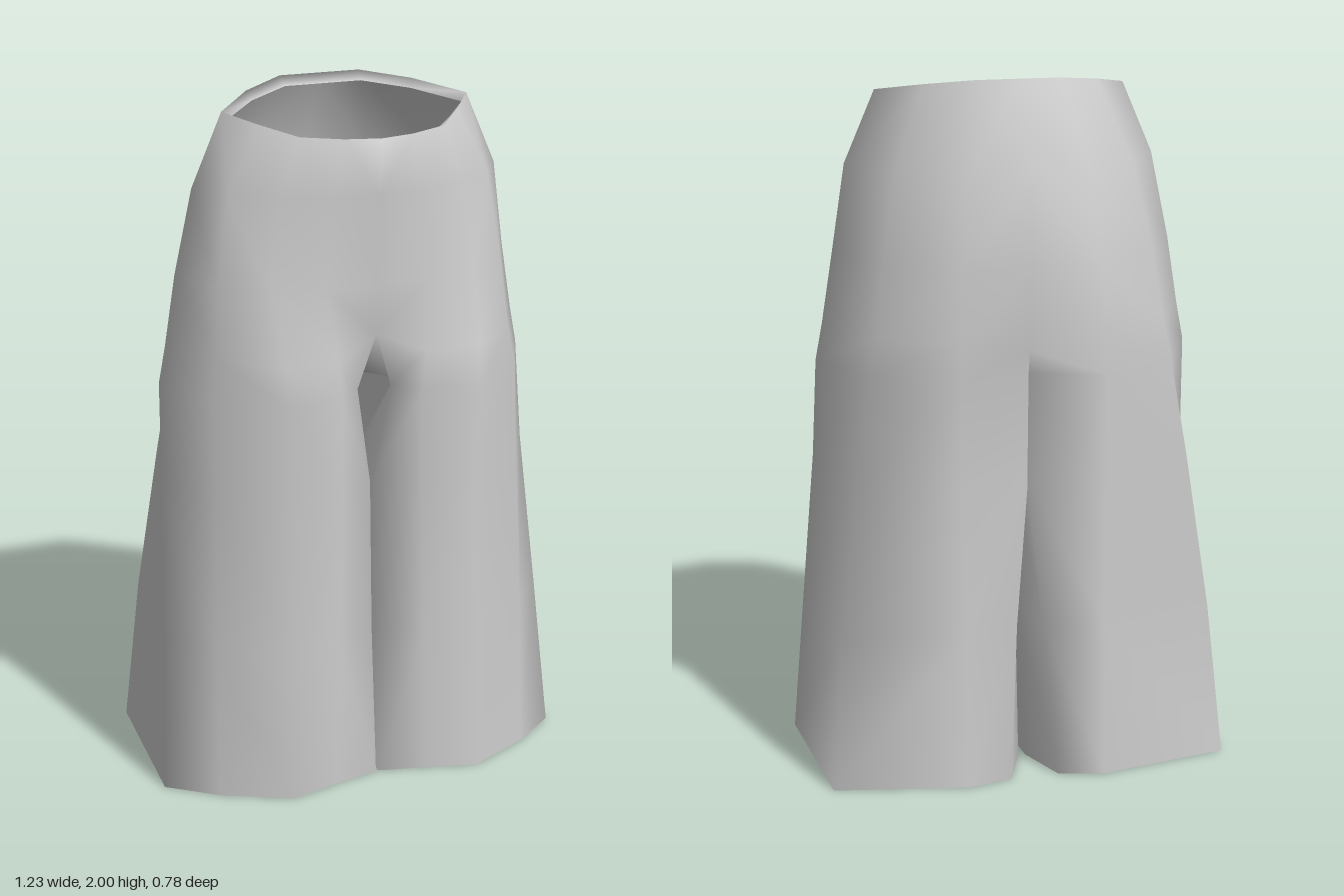
import * as THREE from 'three';
import { mergeVertices } from 'three/addons/utils/BufferGeometryUtils.js';

// Cross-sections of the left half as [x, z], running centre front -> side -> centre back.
const waist = [[0, .33], [.1, .305], [.21, .26], [.29, .165], [.365, .06], [.25, -.065], [.12, -.15], [0, -.15]];
const hips = [
  { y: 1.75, p: [[0, .315], [.13, .305], [.27, .26], [.385, .17], [.455, .06], [.345, -.125], [.18, -.255], [0, -.275]] },
  { y: 1.5, p: [[0, .31], [.16, .315], [.3, .28], [.425, .185], [.5, .03], [.39, -.175], [.2, -.312], [0, -.318]] },
];
// From the crotch down each section closes with two points on the inner thigh.
const legs = [
  { y: 1.3, p: [[0, .295], [.13, .345], [.29, .355], [.44, .215], [.532, .03], [.42, -.195], [.21, -.335], [0, -.285], [0, -.1], [0, .2]] },
  { y: 1.19, p: [[.05, .28], [.12, .345], [.28, .38], [.46, .225], [.553, .03], [.44, -.21], [.21, -.345], [-.004, -.27], [.045, -.1], [.085, .22]] },
  { y: .9, p: [[.003, .26], [.12, .345], [.28, .365], [.46, .25], [.562, .06], [.487, -.228], [.21, -.335], [-.004, -.26], [-.006, -.1], [-.004, .1]] },
  { y: .45, p: [[.004, .28], [.13, .352], [.285, .385], [.475, .27], [.588, .13], [.545, -.275], [.205, -.36], [.04, -.3], [-.006, -.1], [-.004, .1]] },
  { y: .005, p: [[.004, .32], [.14, .352], [.29, .39], [.48, .295], [.615, .19], [.585, -.315], [.2, -.39], [.07, -.36], [.01, -.2], [-.005, .1]] },
];

function buildRings() {
  // The waist slopes up towards the back; its lip folds inwards, wider at the front.
  const slope = z => Math.max(1.91, 1.969 - .208 * z);
  const inset = (z, front, back) => .06 + (z - .06) * (z > .06 ? front : back);
  const rim = waist.map(([x, z]) => [x, slope(z), z]);
  const lip = waist.map(([x, z]) => [x * .96, slope(z) - .025, inset(z, .77, .85)]);
  const lift = ({ y, p }) => p.map(([x, z]) => [x, y, z]);
  const lower = legs.map(lift);
  // Notch at the front seam, and the underside of the crotch
  lower[0][0][1] = 1.35;
  lower[0][7][1] = 1.26;
  lower[0][8][1] = lower[0][9][1] = 1.21;
  return [lip, rim, ...hips.map(lift), ...lower];
}

function trouserGeometry() {
  const rings = buildRings();
  const positions = [], index = [];
  for (const side of [1, -1]) {
    const starts = rings.map(ring => {
      const start = positions.length / 3;
      ring.forEach(([x, y, z]) => positions.push(x * side, y, z));
      return start;
    });
    for (let r = 0; r < rings.length - 1; r++) {
      const n = rings[r].length;
      const columns = n === 10 ? n : n - 1; // leg sections are closed loops
      for (let i = 0; i < columns; i++) {
        const j = (i + 1) % n;
        const a = starts[r] + i, b = starts[r + 1] + i;
        const c = starts[r + 1] + j, d = starts[r] + j;
        if (side > 0) index.push(a, b, d, b, c, d);
        else index.push(a, d, b, b, d, c);
      }
    }
  }
  let geometry = new THREE.BufferGeometry();
  geometry.setAttribute('position', new THREE.Float32BufferAttribute(positions, 3));
  geometry.setIndex(index);
  // Weld the centre seam so both halves shade as one cloth
  geometry = mergeVertices(geometry, 1e-4);
  geometry.computeVertexNormals();
  return geometry;
}

export function createModel() {
  const group = new THREE.Group();
  group.name = 'wideTrousers';
  const cloth = new THREE.MeshStandardMaterial({ color: 0xcccccc, side: THREE.DoubleSide });
  const trousers = new THREE.Mesh(trouserGeometry(), cloth);
  trousers.name = 'trousers';
  group.add(trousers);
  return group;
}
